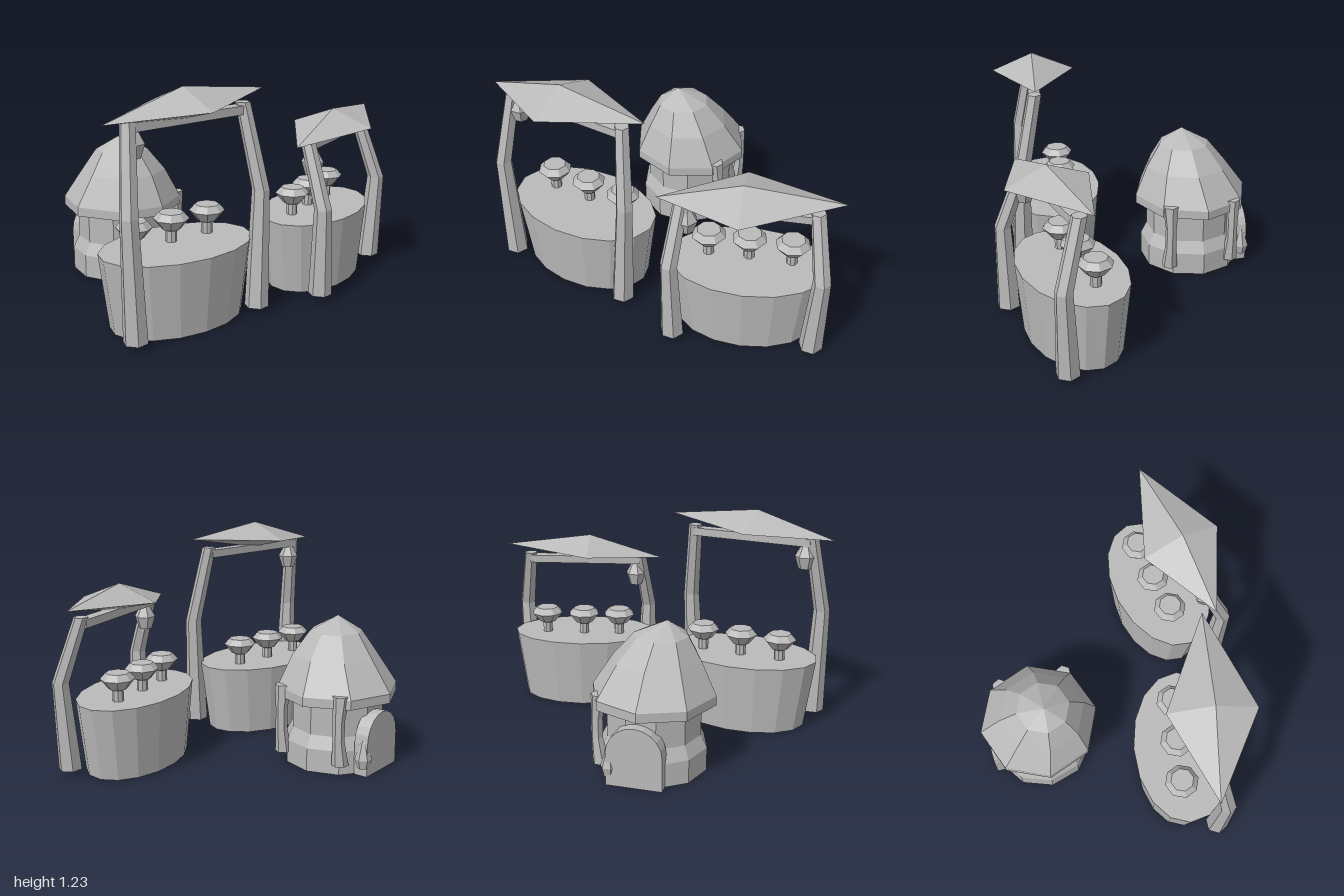
import * as THREE from 'three';

const stone = new THREE.MeshStandardMaterial({ color: 0xbababa, side: THREE.DoubleSide });
stone.name = 'plain grey';

// Faceted geometry from a list of triangle corners
function faceted(points) {
  const g = new THREE.BufferGeometry().setFromPoints(points);
  g.computeVertexNormals();
  return g;
}

// Skin over level rings [x, y, z, radiusX, radiusZ], listed from bottom to top; the bottom may stay open
function loft(rings, sides, openBottom = false) {
  const at = ([x, y, z, rx, rz = rx], k) => {
    const a = (k / sides) * Math.PI * 2;
    return new THREE.Vector3(x + rx * Math.cos(a), y, z + rz * Math.sin(a));
  };
  const mid = ([x, y, z]) => new THREE.Vector3(x, y, z);
  const first = rings[0], last = rings[rings.length - 1];
  const tris = [];
  for (let k = 0; k < sides; k++) {
    for (let i = 0; i < rings.length - 1; i++) {
      const a = at(rings[i], k), b = at(rings[i], k + 1);
      const c = at(rings[i + 1], k + 1), d = at(rings[i + 1], k);
      if (rings[i + 1][3] > 0) tris.push(a, c, b, a, d, c);
      else tris.push(a, d, b);
    }
    if (!openBottom) tris.push(mid(first), at(first, k), at(first, k + 1));
    if (last[3] > 0) tris.push(mid(last), at(last, k + 1), at(last, k));
  }
  return faceted(tris);
}

// Round profile [radius, y] standing on the origin
const turned = (profile, sides, open) => loft(profile.map(([r, y]) => [0, y, 0, r]), sides, open);

function add(group, name, geometry, x = 0, y = 0, z = 0) {
  const mesh = new THREE.Mesh(geometry, stone);
  mesh.name = name;
  mesh.position.set(x, y, z);
  group.add(mesh);
  return mesh;
}

// Four-cornered canopy: left, front, right, back, with a peak above and a shallow keel below
function canopyGeometry({ rim, peak, keel }) {
  const v = (p) => new THREE.Vector3(...p);
  const tris = [];
  rim.forEach((p, i) => {
    const q = rim[(i + 1) % 4];
    tris.push(v(p), v(q), v(peak), v(q), v(p), v(keel));
  });
  return faceted(tris);
}

const stoolGeometry = turned(
  [[0.03, 0], [0.03, 0.06], [0.05, 0.068], [0.094, 0.122], [0.064, 0.156]], 8);
const lanternGeometry = turned(
  [[0.038, 0], [0.06, 0.07], [0.03, 0.125], [0.024, 0.15]], 6);

function stall(name, s) {
  const g = new THREE.Group();
  g.name = name;

  // Tapered oval counter, hollow underneath
  const [cx, cz, rx, rz] = s.counter;
  const counter = add(g, 'counter',
    loft([[0, 0, 0, rx * 0.87, rz * 0.88], [0, 0.4, 0, rx, rz]], 16, true), cx, 0, cz);
  counter.rotation.y = s.yaw;

  // Row of flared stands
  s.stools.forEach(([x, z]) => add(g, 'stand', stoolGeometry, x, 0.4, z));

  // Bent posts
  s.posts.forEach((p) => {
    const radii = [0.064, 0.047, 0.04];
    add(g, 'post', loft(p.map((q, i) => [...q, radii[i]]), 6));
  });

  // Cross beam between the post tops
  const [a, b] = s.posts.map((p) => new THREE.Vector3(p[2][0], s.beamY, p[2][2]));
  const beam = add(g, 'crossBeam', new THREE.BoxGeometry(0.065, 0.045, a.distanceTo(b)));
  beam.position.copy(a).lerp(b, 0.5);
  beam.lookAt(b);

  add(g, 'canopy', canopyGeometry(s.canopy));
  add(g, 'lantern', lanternGeometry, ...s.lantern);
  return g;
}

function hut() {
  const g = new THREE.Group();
  g.name = 'hut';
  const x = -0.18, z = -0.445;

  // Waisted wall, hollow underneath
  add(g, 'wall', turned([[0.29, 0], [0.29, 0.13], [0.256, 0.2], [0.258, 0.4]], 10, true), x, 0, z);

  // Conical roof with an off-centre tip
  add(g, 'roof', loft([
    [x, 0.4, z, 0.25], [x, 0.376, z, 0.335], [x, 0.427, z, 0.335],
    [-0.19, 0.595, -0.418, 0.238], [-0.21, 0.72, -0.408, 0.147], [-0.24, 0.8, -0.403, 0],
  ], 8, true));

  // Arched door block
  const arch = new THREE.Shape();
  arch.moveTo(-0.15, 0);
  arch.lineTo(0.15, 0);
  arch.lineTo(0.15, 0.18);
  arch.absarc(0, 0.18, 0.15, 0, Math.PI, false);
  arch.closePath();
  add(g, 'door', new THREE.ExtrudeGeometry(arch, { depth: 0.08, bevelEnabled: false, curveSegments: 5 }),
    -0.16, 0, -0.75);

  // Pinched side posts under the eaves
  [-0.25, -0.622].forEach((pz) => add(g, 'sidePost', loft([
    [0.055, 0.06, pz, 0.046], [0.075, 0.2, pz, 0.032],
    [0.075, 0.31, pz, 0.032], [0.06, 0.445, pz, 0.046],
  ], 6)));

  // Lantern by the door
  add(g, 'doorLantern', turned([[0.032, 0], [0.046, 0.05], [0.02, 0.13], [0.01, 0.155]], 6),
    -0.02, 0.045, -0.72);
  return g;
}

export function createModel() {
  const model = new THREE.Group();
  model.name = 'marketStalls';
  model.add(
    stall('tallStall', {
      counter: [-0.505, 0.325, 0.44, 0.282], yaw: -0.16,
      stools: [[-0.73, 0.25], [-0.5, 0.28], [-0.27, 0.315]],
      posts: [
        [[-0.915, 0.03, 0.45], [-0.935, 0.655, 0.44], [-0.865, 1.1, 0.365]],
        [[-0.165, 0.03, 0.575], [-0.135, 0.655, 0.565], [-0.175, 1.105, 0.47]],
      ],
      beamY: 1.067,
      canopy: {
        rim: [[-1, 1.09, 0.335], [-0.58, 1.13, 0.64], [-0.035, 1.163, 0.487], [-0.51, 1.13, 0.18]],
        peak: [-0.55, 1.225, 0.415], keel: [-0.55, 1.07, 0.43],
      },
      lantern: [-0.835, 0.915, 0.367],
    }),
    stall('lowStall', {
      counter: [0.51, 0.43, 0.43, 0.268], yaw: 0.22,
      stools: [[0.29, 0.44], [0.5, 0.39], [0.725, 0.35]],
      posts: [
        [[0.195, 0.03, 0.72], [0.185, 0.51, 0.728], [0.205, 0.86, 0.6]],
        [[0.912, 0.03, 0.54], [0.94, 0.51, 0.555], [0.865, 0.865, 0.457]],
      ],
      beamY: 0.83,
      canopy: {
        rim: [[0.075, 0.845, 0.63], [0.56, 0.89, 0.76], [1, 0.92, 0.415], [0.455, 0.89, 0.315]],
        peak: [0.505, 0.98, 0.54], keel: [0.505, 0.833, 0.555],
      },
      lantern: [0.235, 0.67, 0.613],
    }),
    hut(),
  );
  return model;
}
